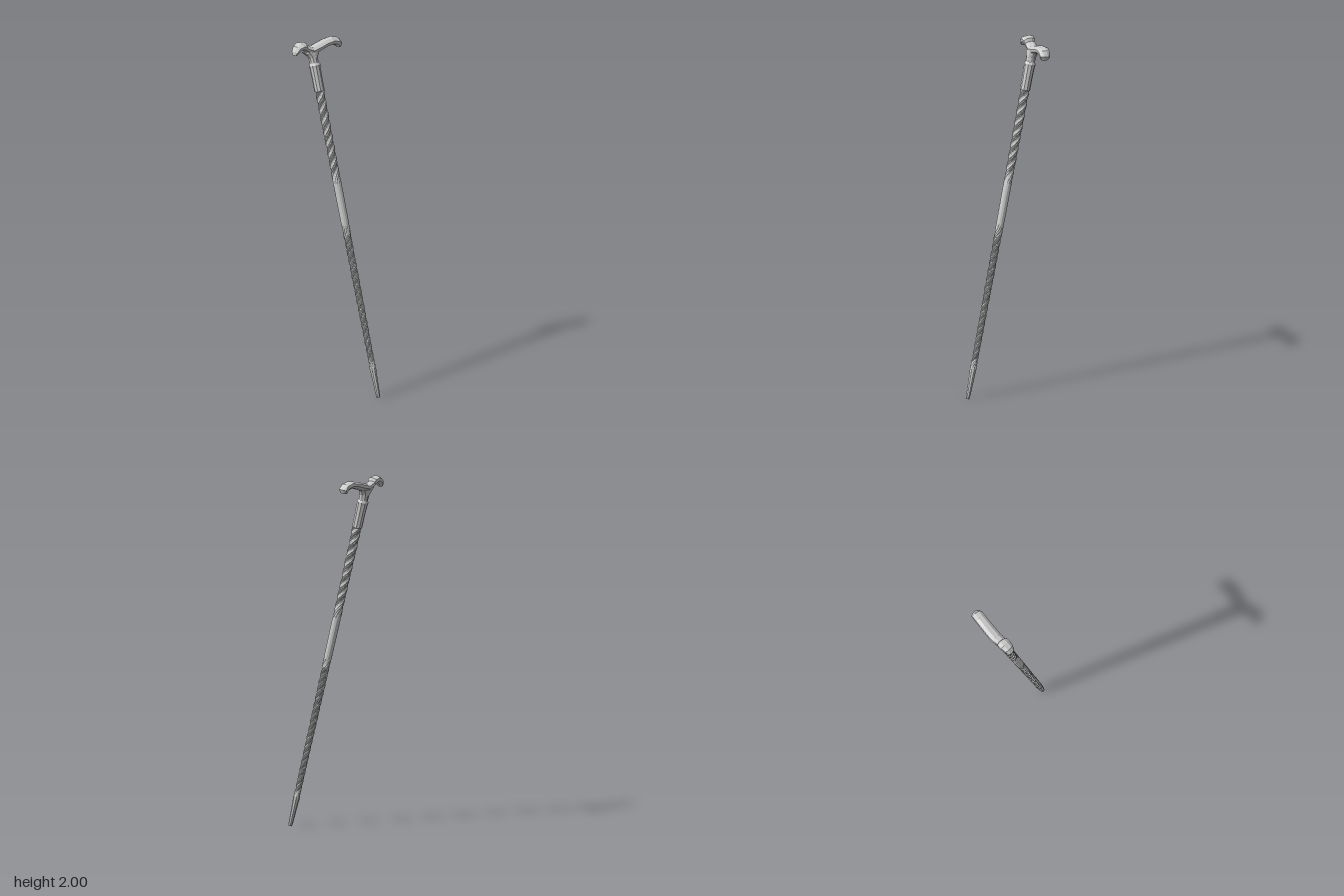
import * as THREE from 'three';

const material = new THREE.MeshStandardMaterial({ color: 0xcccccc, flatShading: true, side: THREE.DoubleSide });

// Skin a list of equal-length point rings, closing both ends with a fan.
function loft(name, rings) {
  const n = rings[0].length, pos = [], idx = [];
  rings.forEach(r => r.forEach(p => pos.push(p.x, p.y, p.z)));
  for (let i = 0; i < rings.length - 1; i++) {
    for (let j = 0; j < n; j++) {
      const a = i * n + j, b = i * n + (j + 1) % n;
      idx.push(a, b, b + n, a, b + n, a + n);
    }
  }
  [0, rings.length - 1].forEach((r, end) => {
    const c = new THREE.Vector3();
    rings[r].forEach(p => c.addScaledVector(p, 1 / n));
    const ci = pos.length / 3;
    pos.push(c.x, c.y, c.z);
    for (let j = 0; j < n; j++) {
      const a = r * n + j, b = r * n + (j + 1) % n;
      if (end) idx.push(ci, a, b); else idx.push(ci, b, a);
    }
  });
  const g = new THREE.BufferGeometry();
  g.setAttribute('position', new THREE.Float32BufferAttribute(pos, 3));
  g.setIndex(idx);
  g.computeVertexNormals();
  const mesh = new THREE.Mesh(g, material);
  mesh.name = name;
  return mesh;
}

// Ring of points around the local y axis; radius may depend on the point index.
function uprightRing(y, sides, turn, rx, rz) {
  return Array.from({ length: sides }, (_, j) => {
    const a = j / sides * Math.PI * 2 + turn;
    return new THREE.Vector3(Math.cos(a) * rx(j), y, -Math.sin(a) * rz(j));
  });
}

const stack = (name, levels, sides) => loft(name, levels.map(([y, rx, rz = rx]) =>
  uprightRing(y, sides, Math.PI / sides, () => rx, () => rz)));

// Three-stranded twist on two stretches, plain wood between them.
function makeShaft() {
  const rings = [], start = 0.17, end = 1.77, step = 0.008;
  const ramp = THREE.MathUtils.smoothstep;
  let turn = 0;
  for (let y = start; y <= end; y += step) {
    const carve = ramp(y, 0.17, 0.23) * (1 - ramp(y, 0.9, 1.02)) + ramp(y, 1.2, 1.32);
    turn += carve * step / (y < 1.1 ? 0.14 : 0.19) * Math.PI * 2;
    const base = THREE.MathUtils.mapLinear(y, start, end, 0.0175, 0.0265);
    const r = j => base * (1 - 0.2 * carve * (1 - Math.abs(Math.sin(j * Math.PI / 4))));
    rings.push(uprightRing(y, 12, turn, r, r));
  }
  return loft('twistedShaft', rings);
}

// Curved grip: x, y, z of the centre line, then half thickness and half width.
function makeGrip(yaw, lean) {
  const rows = [
    [-0.149, 1.932, -0.246, 0.007, 0.014],
    [-0.143, 1.947, -0.246, 0.014, 0.024],
    [-0.128, 1.966, -0.244, 0.019, 0.030],
    [-0.104, 1.976, -0.240, 0.020, 0.035],
    [-0.084, 1.971, -0.234, 0.021, 0.035],
    [-0.076, 1.958, -0.231, 0.016, 0.028],
    [-0.035, 1.938, -0.219, 0.020, 0.032],
    [0.010, 1.949, -0.207, 0.020, 0.033],
    [0.055, 1.963, -0.194, 0.019, 0.032],
    [0.095, 1.969, -0.180, 0.020, 0.032],
    [0.122, 1.960, -0.168, 0.022, 0.031],
    [0.134, 1.944, -0.163, 0.020, 0.029],
    [0.130, 1.928, -0.163, 0.012, 0.020],
  ];
  const points = rows.map(r => new THREE.Vector3(r[0], r[1], r[2]));
  const across = new THREE.Vector3(-Math.sin(yaw), Math.sin(lean), Math.cos(yaw)).normalize();
  const rings = points.map((p, i) => {
    const t = points[Math.min(i + 1, points.length - 1)].clone().sub(points[Math.max(i - 1, 0)]).normalize();
    const side = across.clone().addScaledVector(t, -across.dot(t)).normalize();
    const up = t.clone().cross(side);
    const [, , , h, w] = rows[i];
    return Array.from({ length: 8 }, (_, j) => {
      const a = (j + 0.5) * Math.PI / 4;
      return p.clone().addScaledVector(side, Math.cos(a) * w * 1.07).addScaledVector(up, Math.sin(a) * h * 1.07);
    });
  });
  return loft('grip', rings);
}

export function createModel() {
  const model = new THREE.Group();
  model.name = 'walkingStick';
  const lean = 0.2385, yaw = 0.26;

  // Everything below the grip shares the leaning axis.
  const stick = new THREE.Group();
  stick.name = 'stick';
  stick.position.set(-0.034, 0.003, 0.255);
  stick.rotation.x = -lean;
  model.add(stick);

  stick.add(stack('ferrule', [[0, 0.011], [0.02, 0.0125], [0.15, 0.0175], [0.155, 0.019], [0.172, 0.019], [0.178, 0.017]], 8));
  stick.add(makeShaft());
  stick.add(stack('collar', [[1.757, 0.026], [1.76, 0.029], [1.83, 0.029], [1.895, 0.031], [1.908, 0.033], [1.92, 0.027]], 10));

  // Neck flares sideways into the grip.
  const neck = stack('neck', [[1.90, 0.027], [1.925, 0.025, 0.027], [1.95, 0.028, 0.028], [1.968, 0.038, 0.029], [1.982, 0.052, 0.029], [1.996, 0.068, 0.024]], 10);
  neck.rotation.y = -yaw;
  stick.add(neck);

  model.add(makeGrip(yaw, -lean * 0.5));
  return model;
}
